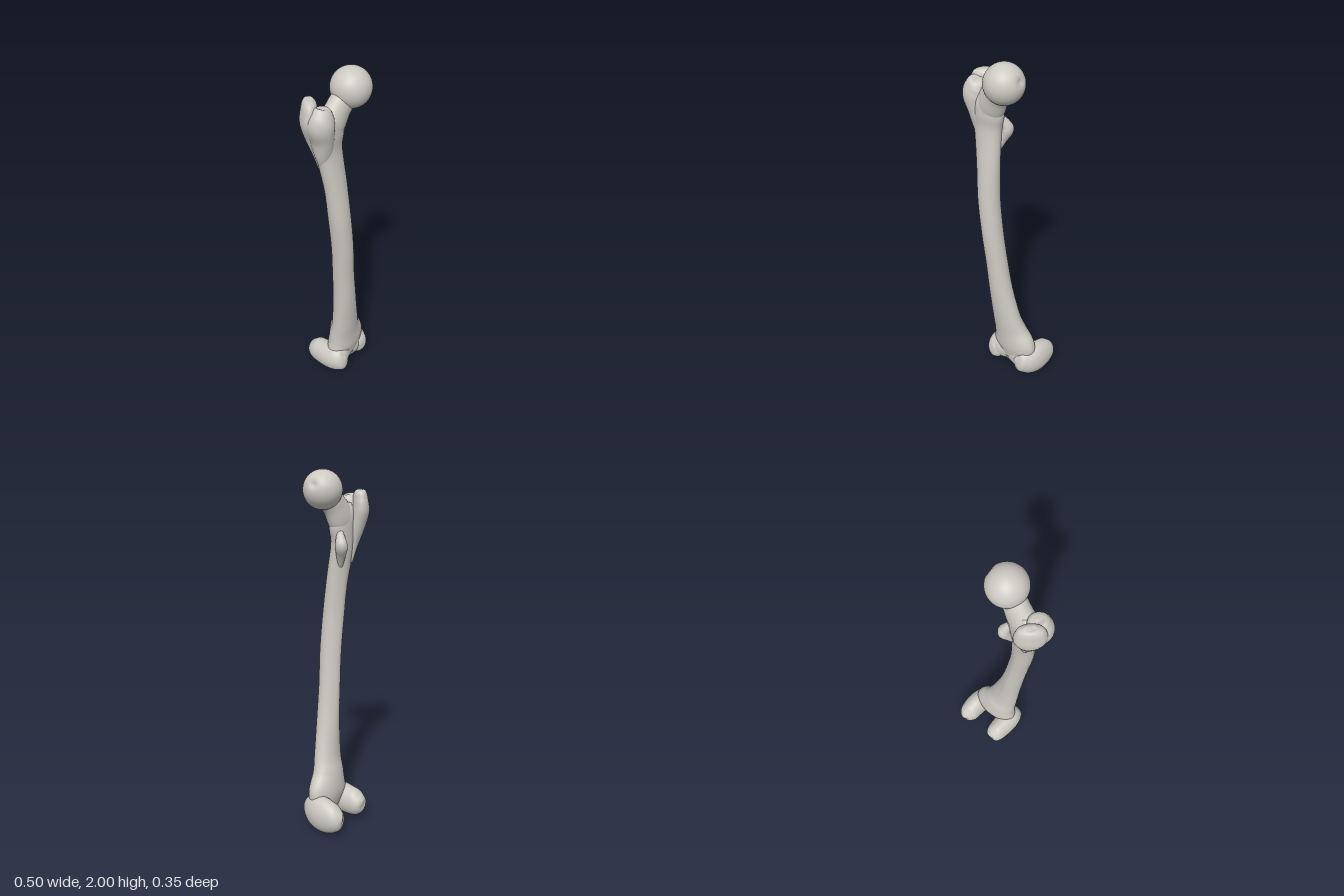
import * as THREE from 'three';

const bone = new THREE.MeshStandardMaterial({ color: 0xccc9c1 });
bone.name = 'bone';

// Smooth solid through oval sections [x, y, z, a, b]; a is the half-width along
// "side", b the half-width across it. "shape" may scale the radius by angle and height.
function loft(rows, side, { steps = 6, sides = 40, shape = () => 1 } = {}) {
  const path = new THREE.CatmullRomCurve3(rows.map(r => new THREE.Vector3(r[0], r[1], r[2])), false, 'catmullrom', 0.5);
  const size = new THREE.CatmullRomCurve3(rows.map(r => new THREE.Vector3(r[3], r[4], 0)), false, 'catmullrom', 0.5);
  const count = (rows.length - 1) * steps;
  const pos = [], index = [];
  for (let i = 0; i <= count; i++) {
    const c = path.getPoint(i / count), s = size.getPoint(i / count), t = path.getTangent(i / count);
    const u = side.clone().addScaledVector(t, -side.dot(t)).normalize();
    const v = t.clone().cross(u);
    for (let j = 0; j < sides; j++) {
      const angle = (j / sides) * Math.PI * 2, k = shape(angle, c.y);
      const p = c.clone().addScaledVector(u, s.x * k * Math.cos(angle)).addScaledVector(v, s.y * k * Math.sin(angle));
      pos.push(p.x, p.y, p.z);
      if (i < count) {
        const a = i * sides + j, b = i * sides + (j + 1) % sides;
        index.push(a, b, a + sides, b, b + sides, a + sides);
      }
    }
  }
  // Close both ends
  const first = pos.length / 3, top = count * sides;
  const p0 = path.getPoint(0), p1 = path.getPoint(1);
  pos.push(p0.x, p0.y, p0.z, p1.x, p1.y, p1.z);
  for (let j = 0; j < sides; j++) {
    const n = (j + 1) % sides;
    index.push(first, n, j, first + 1, top + j, top + n);
  }
  const g = new THREE.BufferGeometry();
  g.setAttribute('position', new THREE.Float32BufferAttribute(pos, 3));
  g.setIndex(index);
  g.computeVertexNormals();
  return g;
}

// Ball with a shallow pit in its inner side
function pittedBall(radius, pitDirection) {
  const g = new THREE.SphereGeometry(radius, 64, 48);
  const p = g.attributes.position, v = new THREE.Vector3();
  for (let i = 0; i < p.count; i++) {
    v.fromBufferAttribute(p, i);
    const d = v.clone().normalize().angleTo(pitDirection);
    v.multiplyScalar(1 - 0.11 * Math.exp(-((d / 0.19) ** 2)));
    p.setXYZ(i, v.x, v.y, v.z);
  }
  g.computeVertexNormals();
  return g;
}

export function createModel() {
  const model = new THREE.Group();
  model.name = 'thighBone';
  const X = new THREE.Vector3(1, 0, 0), Z = new THREE.Vector3(0, 0, 1);
  const add = (name, geometry, x = 0, y = 0, z = 0) => {
    const mesh = new THREE.Mesh(geometry, bone);
    mesh.name = name;
    mesh.position.set(x, y, z);
    model.add(mesh);
    return mesh;
  };

  // Bowed shaft, flared at both ends, with a low ridge down the back
  const ridge = (angle, y) => {
    const along = THREE.MathUtils.smoothstep(y, 0.4, 0.7) * (1 - THREE.MathUtils.smoothstep(y, 1.4, 1.65));
    return 1 + 0.1 * along * Math.exp(-(((angle - Math.PI) / 0.35) ** 2));
  };
  add('shaft', loft([
    [0.07, 0.11, 0.02, 0.06, 0.11],
    [0.066, 0.2, 0.018, 0.078, 0.145],
    [0.043, 0.3, 0.028, 0.073, 0.113],
    [0.026, 0.4, 0.045, 0.065, 0.094],
    [-0.003, 0.6, 0.062, 0.062, 0.073],
    [-0.028, 0.8, 0.07, 0.06, 0.063],
    [-0.05, 1.0, 0.078, 0.061, 0.06],
    [-0.073, 1.2, 0.075, 0.06, 0.062],
    [-0.088, 1.4, 0.06, 0.055, 0.068],
    [-0.108, 1.6, 0.036, 0.055, 0.083],
    [-0.112, 1.7, 0.035, 0.06, 0.103],
    [-0.13, 1.77, 0.033, 0.056, 0.1],
    [-0.14, 1.82, 0.03, 0.03, 0.05],
  ], Z, { steps: 8, shape: ridge }));

  // Neck and ball head
  add('neck', loft([
    [-0.135, 1.64, 0.034, 0.045, 0.06],
    [-0.09, 1.735, 0.036, 0.059, 0.086],
    [-0.043, 1.81, 0.045, 0.058, 0.074],
    [0.0, 1.86, 0.057, 0.062, 0.068],
    [0.03, 1.896, 0.066, 0.07, 0.07],
  ], Z, { steps: 8 }));
  add('head', pittedBall(0.104, new THREE.Vector3(0.93, 0.33, -0.1).normalize()), 0.03, 1.896, 0.066);

  // Outer knob: a front mass and an oblique crest behind it
  add('greaterTrochanterFront', loft([
    [-0.14, 1.52, 0.035, 0.02, 0.03],
    [-0.15, 1.6, 0.035, 0.043, 0.05],
    [-0.165, 1.69, 0.036, 0.062, 0.056],
    [-0.182, 1.77, 0.038, 0.072, 0.069],
    [-0.172, 1.82, 0.04, 0.06, 0.062],
    [-0.16, 1.847, 0.04, 0.04, 0.042],
    [-0.158, 1.855, 0.04, 0.008, 0.008],
  ], Z));
  add('greaterTrochanterCrest', loft([
    [-0.13, 1.5, 0.012, 0.02, 0.02],
    [-0.148, 1.6, 0.004, 0.035, 0.035],
    [-0.165, 1.69, -0.013, 0.056, 0.045],
    [-0.18, 1.77, -0.025, 0.078, 0.049],
    [-0.18, 1.83, -0.027, 0.075, 0.042],
    [-0.175, 1.868, -0.03, 0.06, 0.034],
    [-0.173, 1.884, -0.03, 0.038, 0.021],
    [-0.173, 1.888, -0.03, 0.006, 0.004],
  ], new THREE.Vector3(0.74, 0, -0.67)));

  // Small inner knob, tapering down into the shaft
  add('lesserTrochanter', loft([
    [-0.06, 1.48, 0.02, 0.012, 0.012],
    [-0.04, 1.55, 0.0, 0.026, 0.024],
    [-0.022, 1.6, -0.015, 0.035, 0.031],
    [-0.026, 1.635, -0.008, 0.028, 0.026],
    [-0.05, 1.69, 0.015, 0.012, 0.012],
  ], Z, { sides: 28 }));

  // Knee rollers, swept from back to front
  add('leftCondyle', loft([
    [0.175, 0.115, -0.171, 0.006, 0.006],
    [0.178, 0.115, -0.163, 0.035, 0.043],
    [0.184, 0.111, -0.13, 0.06, 0.08],
    [0.186, 0.108, -0.07, 0.068, 0.102],
    [0.178, 0.112, -0.01, 0.07, 0.104],
    [0.155, 0.122, 0.04, 0.066, 0.088],
    [0.135, 0.13, 0.072, 0.05, 0.064],
    [0.125, 0.135, 0.09, 0.008, 0.01],
  ], X));
  add('rightCondyle', loft([
    [-0.035, 0.115, -0.165, 0.006, 0.006],
    [-0.035, 0.115, -0.156, 0.04, 0.042],
    [-0.037, 0.111, -0.12, 0.06, 0.076],
    [-0.041, 0.111, -0.06, 0.068, 0.086],
    [-0.044, 0.116, 0.0, 0.071, 0.088],
    [-0.042, 0.125, 0.05, 0.065, 0.084],
    [-0.037, 0.135, 0.085, 0.046, 0.064],
    [-0.034, 0.14, 0.102, 0.008, 0.01],
  ], X));

  // Grooved saddle joining the rollers at the front
  add('kneeGroove', loft([
    [-0.08, 0.13, 0.04, 0.02, 0.03],
    [-0.035, 0.13, 0.042, 0.055, 0.08],
    [0.045, 0.13, 0.03, 0.05, 0.074],
    [0.13, 0.125, 0.03, 0.055, 0.084],
    [0.18, 0.12, 0.01, 0.03, 0.04],
  ], Z));

  return model;
}
